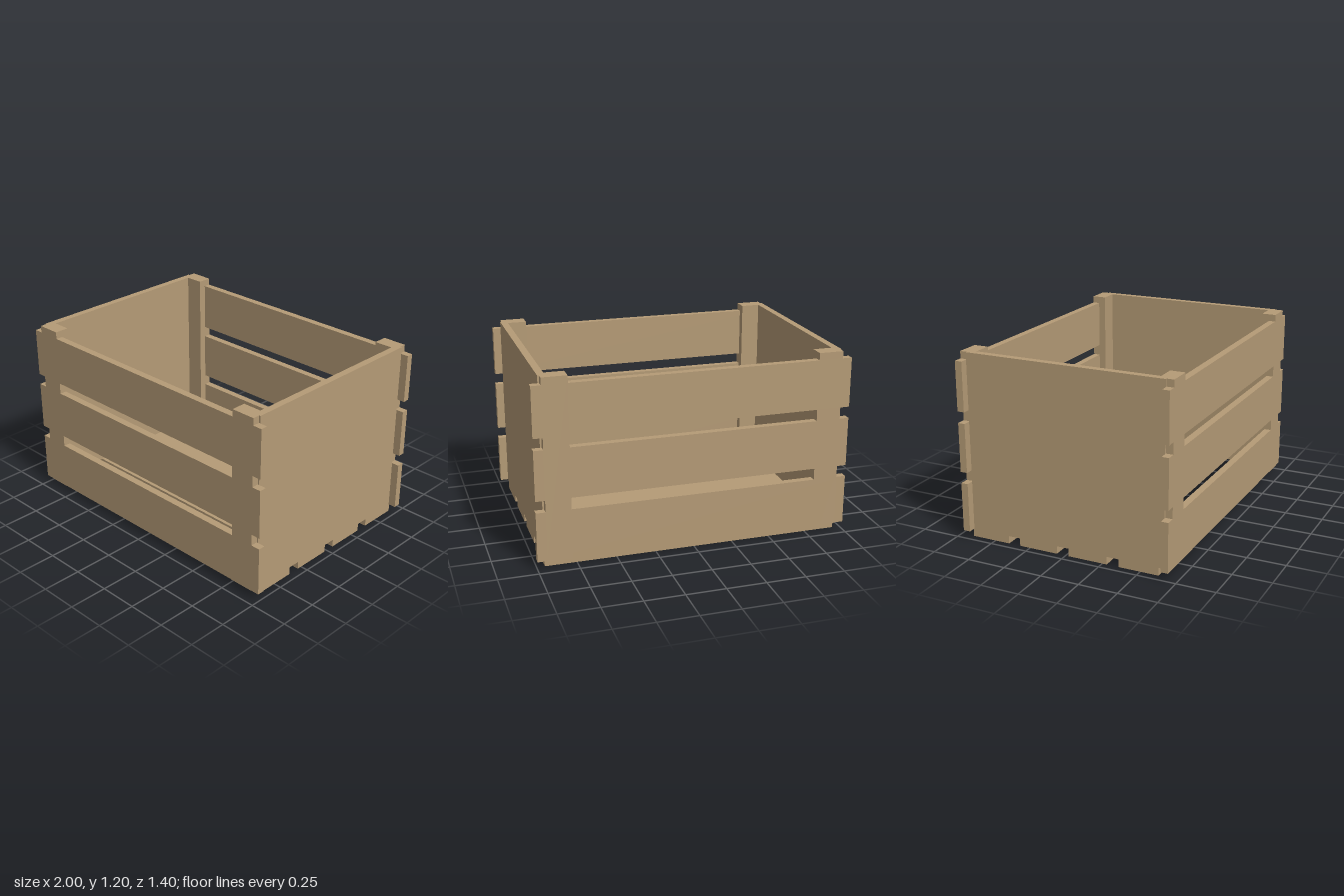
import * as THREE from 'three';

export function createModel() {
  const crate = new THREE.Group();
  crate.name = 'crate';
  const wood = new THREE.MeshStandardMaterial({ color: 0xb59b76 });
  wood.name = 'wood';

  // Box given by its min and max on each axis
  function board(name, [x0, x1], [y0, y1], [z0, z1]) {
    const mesh = new THREE.Mesh(new THREE.BoxGeometry(x1 - x0, y1 - y0, z1 - z0), wood);
    mesh.position.set((x0 + x1) / 2, (y0 + y1) / 2, (z0 + z1) / 2);
    mesh.name = name;
    crate.add(mesh);
  }
  // Range mirrored to the given side
  const flip = (s, a, b) => (s > 0 ? [a, b] : [-b, -a]);

  // Floor slats, set slightly towards the back
  for (let i = 0; i < 4; i++) {
    const z = -0.66 + i * 0.34;
    board('floorSlat', [-0.95, 0.95], [0, 0.05], [z, z + 0.26]);
  }

  for (const sx of [1, -1]) {
    // Solid end panels
    board(sx > 0 ? 'leftPanel' : 'rightPanel', flip(sx, 0.905, 0.95), [0.05, 1.2], [-0.654, 0.654]);
    // Corner posts, flush with the outside of the slats
    for (const sz of [1, -1]) {
      board('cornerPost', flip(sx, 0.783, 0.94), [0.05, 1.2], flip(sz, 0.606, 0.7));
    }
  }

  // Front and back wall slats
  for (const sz of [1, -1]) {
    for (let i = 0; i < 3; i++) {
      const y = 0.052 + i * 0.392;
      board(sz > 0 ? 'frontSlat' : 'backSlat', [-1, 1], [y, y + 0.318], flip(sz, 0.654, 0.7));
    }
  }
  return crate;
}
